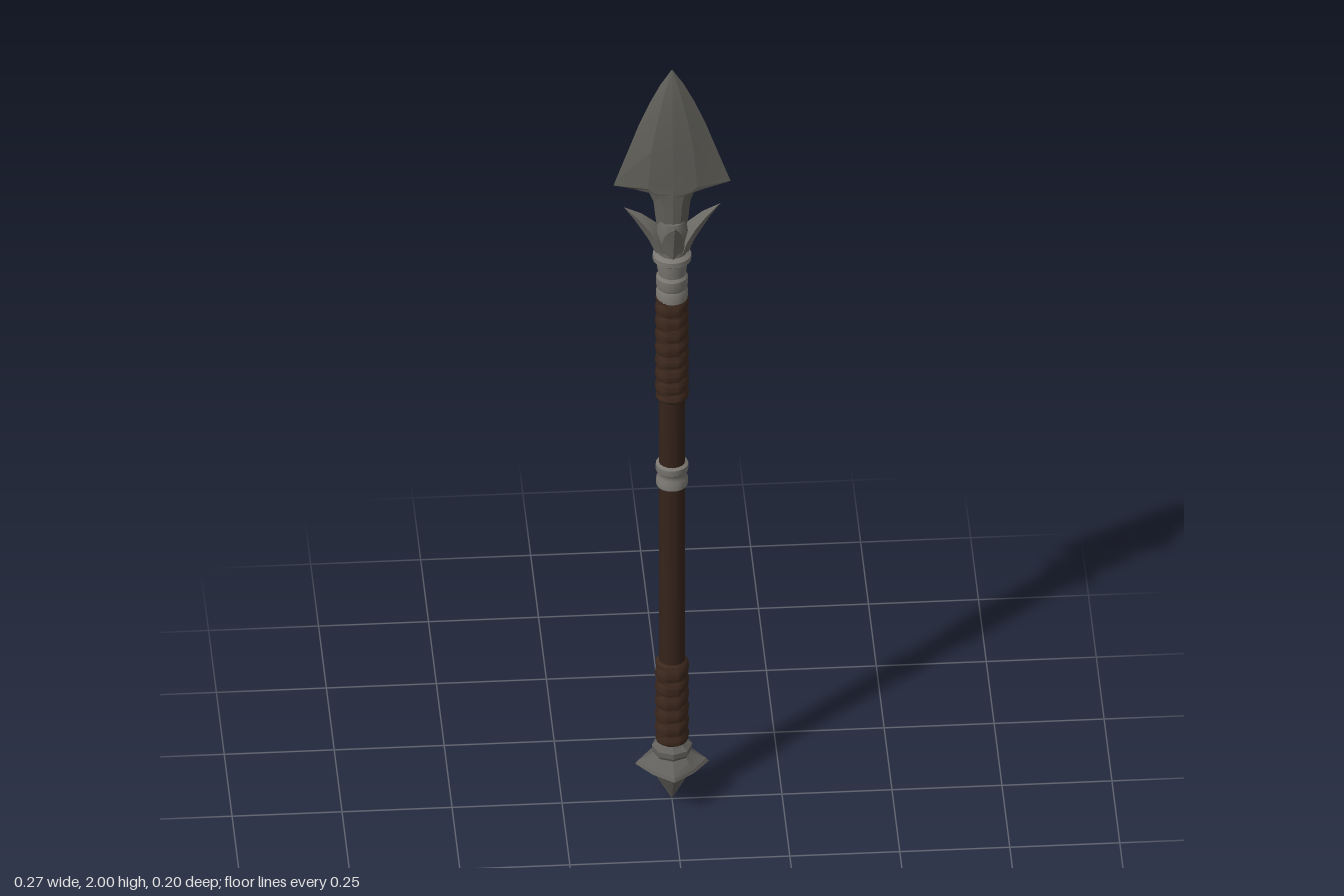
import * as THREE from 'three';
import { toCreasedNormals } from 'three/addons/utils/BufferGeometryUtils.js';

const mat = (name, color) => {
  const m = new THREE.MeshStandardMaterial({ color });
  m.name = name;
  return m;
};

// Skin a stack of rings; each ring is an array of [x, y, z] ordered +x, +z, -x, -z
function loft(rings, crease = 0.5) {
  const pos = [];
  const n = rings[0].length;
  for (let i = 0; i < rings.length - 1; i++) {
    for (let j = 0; j < n; j++) {
      const k = (j + 1) % n;
      const a = rings[i][j], b = rings[i + 1][j], c = rings[i + 1][k], d = rings[i][k];
      pos.push(...a, ...b, ...d, ...b, ...c, ...d);
    }
  }
  const g = new THREE.BufferGeometry();
  g.setAttribute('position', new THREE.Float32BufferAttribute(pos, 3));
  g.computeVertexNormals();
  return toCreasedNormals(g, crease);
}

const lathe = (pts, sides = 20) =>
  toCreasedNormals(new THREE.LatheGeometry(pts.map(([r, y]) => new THREE.Vector2(r, y)), sides), 0.6);

// Leather grip: a cylinder with ridges spiralling around it
function wrapGeometry(y0, y1, bands) {
  const h = y1 - y0;
  const g = new THREE.CylinderGeometry(1, 1, h, 24, bands * 8, true);
  const p = g.attributes.position;
  for (let i = 0; i < p.count; i++) {
    const x = p.getX(i), y = p.getY(i), z = p.getZ(i);
    const phase = ((y / h + 0.5) * bands) * Math.PI + Math.atan2(z, x) / 2;
    const edge = Math.min(1, (h / 2 - Math.abs(y)) / 0.006);
    const r = 0.03 + edge * (0.0035 + 0.005 * Math.sqrt(Math.abs(Math.sin(phase))));
    p.setXYZ(i, x * r, y + (y0 + y1) / 2, z * r);
  }
  return toCreasedNormals(g, 0.9);
}

// Blade rows: height, half width, half thickness
function bladeGeometry() {
  const rows = [
    [1.54, 0.03, 0.026], [1.6, 0.038, 0.026], [1.64, 0.042, 0.026], [1.665, 0.052, 0.026],
    [1.675, 0.085, 0.026], [1.688, 0.133, 0.025], [1.7, 0.129, 0.025], [1.79, 0.097, 0.025],
    [1.85, 0.076, 0.023], [1.91, 0.051, 0.018], [1.96, 0.026, 0.011], [2, 0, 0],
  ];
  return loft(rows.map(([y, w, t]) => {
    const m = Math.min(0.055, w * 0.5), s = t * 0.84;
    return [[w, y, 0], [m, y, s], [0, y, t], [-m, y, s], [-w, y, 0], [-m, y, -s], [0, y, -t], [m, y, -s]];
  }), 0.15);
}

// Curved prong rows: distance out, height, half thickness, half breadth
function prongGeometry() {
  const rows = [
    [0.018, 1.5, 0.016, 0.026], [0.03, 1.54, 0.019, 0.026], [0.048, 1.572, 0.018, 0.021],
    [0.072, 1.601, 0.011, 0.012], [0.102, 1.628, 0, 0],
  ];
  return loft(rows.map(([r, y, t, b], i) => {
    const p = rows[Math.max(0, i - 1)], q = rows[Math.min(rows.length - 1, i + 1)];
    const len = Math.hypot(q[0] - p[0], q[1] - p[1]);
    const nx = (q[1] - p[1]) / len, ny = -(q[0] - p[0]) / len;
    return [[r + nx * t, y + ny * t, 0], [r, y, b], [r - nx * t, y - ny * t, 0], [r, y, -b]];
  }), 0.45);
}

// Pommel rows: height, radius on the axes, radius on the diagonals
function pommelGeometry() {
  const rows = [
    [0, 0, 0], [0.03, 0.017, 0.016], [0.082, 0.046, 0.042], [0.09, 0.06, 0.054], [0.1, 0.084, 0.067],
    [0.108, 0.078, 0.064], [0.122, 0.052, 0.05], [0.13, 0.042, 0.042], [0.137, 0.046, 0.046],
    [0.15, 0.046, 0.046], [0.157, 0.036, 0.036], [0.166, 0.028, 0.028],
  ];
  return loft(rows.map(([y, r, d]) => Array.from({ length: 8 }, (_, i) => {
    const a = i * Math.PI / 4, q = i % 2 ? d : r;
    return [Math.cos(a) * q, y, Math.sin(a) * q];
  })), 0.4);
}

export function createModel() {
  const group = new THREE.Group();
  group.name = 'spear';
  const steel = mat('bladeSteel', 0x605f59);
  const iron = mat('prongIron', 0x6b6963);
  const silver = mat('collarMetal', 0x7a7772);
  const pommelIron = mat('pommelIron', 0x62605c);
  const wood = mat('darkWood', 0x35231a);
  const leather = mat('leather', 0x3d291e);

  const add = (name, geometry, material) => {
    const m = new THREE.Mesh(geometry, material);
    m.name = name;
    group.add(m);
    return m;
  };

  // Shaft and its two grips
  add('shaft', lathe([[0.03, 0.14], [0.03, 1.4]], 16), wood);
  add('lowerGrip', wrapGeometry(0.162, 0.385, 6), leather);
  add('upperGrip', wrapGeometry(1.1, 1.385, 8), leather);

  // Middle ring with a waist
  add('middleRing', lathe([
    [0.029, 0.862], [0.036, 0.866], [0.036, 0.884], [0.033, 0.89], [0.033, 0.9],
    [0.037, 0.906], [0.037, 0.922], [0.029, 0.927],
  ]), silver);

  // Upper collar under the head
  add('upperCollar', lathe([
    [0.029, 1.374], [0.036, 1.377], [0.036, 1.4], [0.033, 1.406], [0.036, 1.413], [0.036, 1.436],
    [0.031, 1.443], [0.034, 1.46], [0.035, 1.476], [0.044, 1.483], [0.044, 1.496], [0.034, 1.503], [0, 1.503],
  ]), silver);

  // Socket and four prongs
  add('socket', lathe([[0.034, 1.5], [0.033, 1.53], [0.037, 1.565], [0.03, 1.59], [0, 1.6]]), iron);
  const prong = prongGeometry();
  for (let i = 0; i < 4; i++) {
    const p = add('prong', prong, iron);
    p.rotation.y = i * Math.PI / 2;
    if (i % 2 === 0) p.scale.x = 1.08;
  }

  add('blade', bladeGeometry(), steel);
  add('pommel', pommelGeometry(), pommelIron);
  return group;
}
